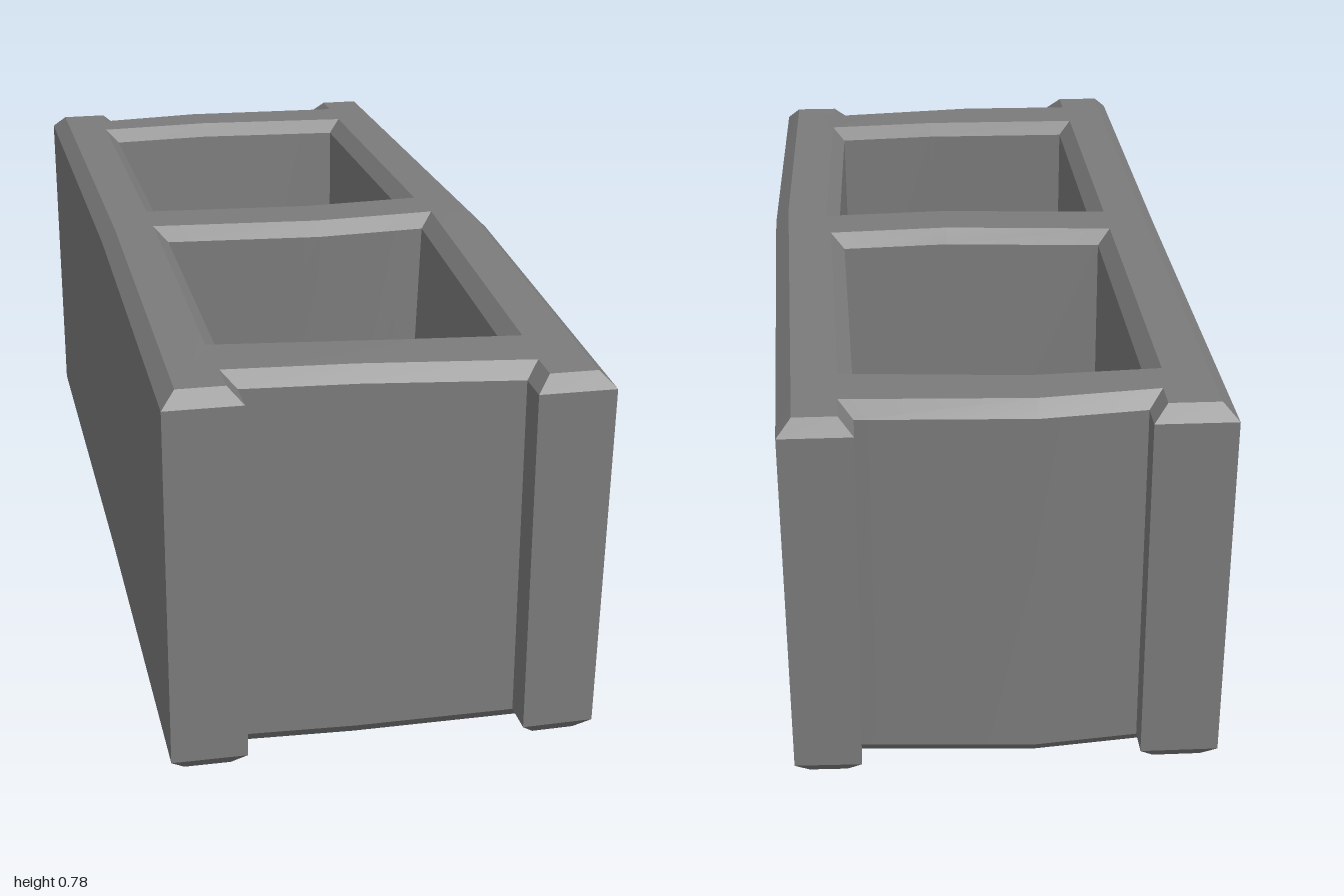
import * as THREE from 'three';
import { toCreasedNormals } from 'three/addons/utils/BufferGeometryUtils.js';

const HEIGHT = 0.77;
const CHAMFER = 0.028;

// Plan loops of [x, z, leanX, leanZ]: the lean is how far the foot of that corner shifts.
// Solid material always lies to the left of the walking direction.
const loops = [
  // Footprint: long side walls, end webs set back between four corner flanges (0-15)
  [[-0.418, 0.985, 0.004], [-0.27, 0.985], [-0.27, 0.91], [-0.05, 0.92], [0.26, 0.925], [0.26, 0.995],
    [0.408, 0.995, -0.012], [0.42, 0.1, -0.012], [0.397, -1, -0.01, 0.013], [0.26, -1, 0, 0.013],
    [0.26, -0.93, 0, 0.01], [-0.07, -0.945, 0, 0.01], [-0.27, -0.92, 0, 0.01], [-0.27, -0.98, 0, 0.01],
    [-0.424, -0.98, 0.006, 0.01], [-0.414, 0.05, 0.004]],
  // Back core (16-21)
  [[-0.28, -0.775, 0, 0.02], [-0.06, -0.79, 0, 0.035], [0.26, -0.765, 0, 0.015],
    [0.27, -0.08], [0.05, -0.065, 0, -0.03], [-0.275, -0.09, 0, -0.02]],
  // Front core (22-27)
  [[-0.275, 0.075], [0.05, 0.1, 0, 0.01], [0.28, 0.085, -0.03, 0.015],
    [0.265, 0.755], [0.05, 0.752], [-0.275, 0.73]],
];

// Top and bottom faces, as polygons of plan corners
const capFaces = [
  [0, 1, 2, 27], [0, 27, 22, 15], [15, 22, 21], [15, 21, 16, 14], [14, 16, 12, 13], // left wall
  [4, 5, 6, 25], [25, 6, 7, 24], [24, 7, 19], [19, 7, 8, 18], [8, 9, 10, 18], // right wall
  [2, 3, 26, 27], [3, 4, 25, 26], // front web
  [22, 23, 20, 21], [23, 24, 19, 20], // middle web
  [18, 10, 11, 17], [17, 11, 12, 16], // back web
];

// Rings from the ground up: inset into the material, and height above foot or below top
const rings = [
  { inset: CHAMFER, rise: 0, top: false },
  { inset: 0, rise: CHAMFER, top: false },
  { inset: 0, rise: -CHAMFER, top: true },
  { inset: CHAMFER, rise: 0, top: true },
];

// Unit vector pointing into the material from the edge a-b
function inward(a, b) {
  return new THREE.Vector2(b[1] - a[1], a[0] - b[0]).normalize();
}

// Slightly uneven casting: the foot rises toward the ends, the top sags at one corner
function footHeight(x, z) {
  return 0.002 + 0.008 * Math.abs(z) + 0.015 * Math.max(0, x) + (z < -0.7 ? 0.012 : 0);
}

function topHeight(x, z) {
  const sag = THREE.MathUtils.smoothstep(x, -0.15, 0.28) * THREE.MathUtils.smoothstep(z, 0.4, 0.95);
  return HEIGHT + 0.01 * (1 - Math.abs(z)) - 0.018 * sag;
}

function blockGeometry() {
  const positions = [];
  const index = [];
  const count = loops.flat().length;

  for (const { inset, rise, top } of rings) {
    for (const loop of loops) {
      loop.forEach((corner, i) => {
        const n1 = inward(loop.at(i - 1), corner);
        const n2 = inward(corner, loop[(i + 1) % loop.length]);
        const miter = inset / (1 + n1.dot(n2));
        const [px, pz, leanX = 0, leanZ = 0] = corner;
        const x = px + (n1.x + n2.x) * miter + (top ? 0 : leanX);
        const z = pz + (n1.y + n2.y) * miter + (top ? 0 : leanZ);
        positions.push(x, (top ? topHeight(x, z) : footHeight(x, z)) + rise, z);
      });
    }
  }

  // Walls and chamfers between neighbouring rings
  for (let r = 0; r < rings.length - 1; r++) {
    let start = r * count;
    for (const loop of loops) {
      for (let i = 0; i < loop.length; i++) {
        const a = start + i;
        const b = start + ((i + 1) % loop.length);
        index.push(a, b, b + count, a, b + count, a + count);
      }
      start += loop.length;
    }
  }

  // Top and bottom
  const topStart = (rings.length - 1) * count;
  for (const face of capFaces) {
    for (let k = 1; k < face.length - 1; k++) {
      const [a, b, c] = [face[0], face[k], face[k + 1]];
      index.push(topStart + a, topStart + b, topStart + c, a, c, b);
    }
  }

  const geometry = new THREE.BufferGeometry();
  geometry.setAttribute('position', new THREE.Float32BufferAttribute(positions, 3));
  geometry.setIndex(index);
  return toCreasedNormals(geometry, 0.35);
}

export function createModel() {
  const group = new THREE.Group();
  group.name = 'cinderBlock';

  const block = new THREE.Mesh(blockGeometry(), new THREE.MeshStandardMaterial({ color: 0x7b7b7b }));
  block.name = 'blockBody';
  group.add(block);
  return group;
}
